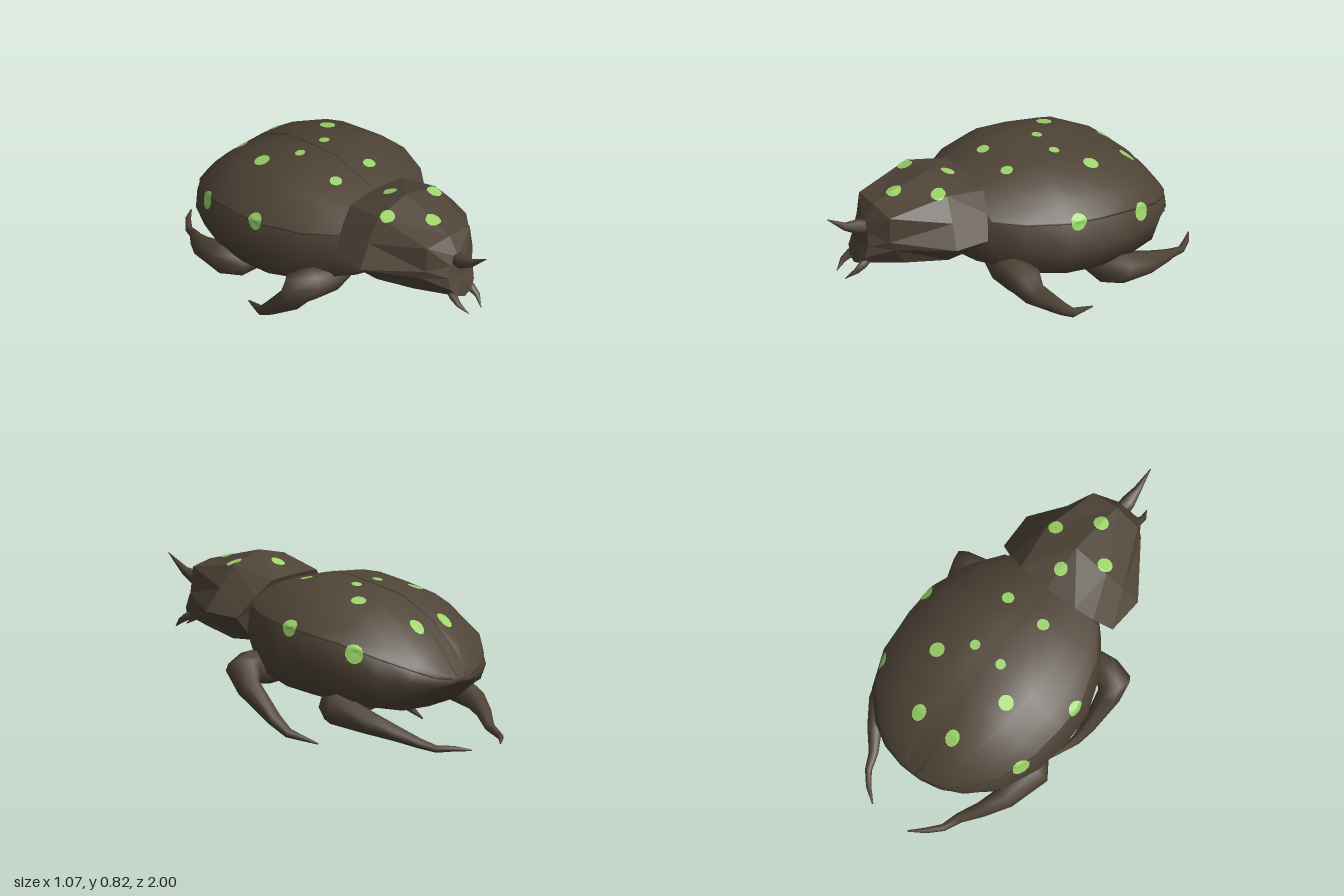
import * as THREE from 'three';

const brown = new THREE.MeshStandardMaterial({ color: 0x4f4437, side: THREE.DoubleSide });
brown.name = 'shellBrown';
const green = new THREE.MeshStandardMaterial({ color: 0x9cd56a });
green.name = 'spotGreen';

// Skin a list of rows of [x, y, z]; optional wrap around and end caps
function skin(rows, { wrap = false, caps = false, flat = false } = {}) {
  const n = rows[0].length;
  const centre = row => {
    const c = [0, 1, 2].map(k => row.reduce((s, p) => s + p[k], 0) / n);
    return row.map(() => c);
  };
  if (caps) rows = [centre(rows[0]), ...rows, centre(rows[rows.length - 1])];
  const index = [];
  for (let i = 0; i < rows.length - 1; i++) {
    for (let j = 0; j < (wrap ? n : n - 1); j++) {
      const k = (j + 1) % n;
      const a = i * n + j, b = i * n + k, c = a + n, d = b + n;
      // mirrored diagonals on the two halves
      if (j < n / 2) index.push(a, b, d, a, d, c);
      else index.push(a, b, c, b, d, c);
    }
  }
  let g = new THREE.BufferGeometry();
  g.setAttribute('position', new THREE.Float32BufferAttribute(rows.flat(2), 3));
  g.setIndex(index);
  if (flat) g = g.toNonIndexed();
  g.computeVertexNormals();
  return g;
}

// Complete a right-hand half outline (top to bottom) with its mirror image
const mirrorRing = half => [
  ...half,
  ...half.slice(1, -1).reverse().map(([x, y, z]) => [-x, y, z]),
];

// Tapered limb along points [x, y, z, radius]
function limb(points, side, sides = 8) {
  const p = points.map(a => new THREE.Vector3(a[0] * side, a[1], a[2]));
  const q = new THREE.Quaternion();
  let last = new THREE.Vector3(0, 0, 1);
  const rows = p.map((v, i) => {
    const t = p[Math.min(i + 1, p.length - 1)].clone().sub(p[Math.max(i - 1, 0)]).normalize();
    q.premultiply(new THREE.Quaternion().setFromUnitVectors(last, t));
    last = t;
    return Array.from({ length: sides }, (_, k) => {
      const a = (k / sides) * Math.PI * 2, r = points[i][3];
      return new THREE.Vector3(Math.cos(a) * r, Math.sin(a) * r, 0).applyQuaternion(q).add(v).toArray();
    });
  });
  return skin(rows, { wrap: true, caps: true });
}

// Body stations: z, half width, top, shell rim, widest height, belly
const stations = [
  [0.33, 0.22, 0.60, 0.55, 0.48, 0.37],
  [0.24, 0.31, 0.693, 0.613, 0.48, 0.305],
  [0.10, 0.42, 0.732, 0.602, 0.45, 0.245],
  [-0.10, 0.50, 0.768, 0.585, 0.42, 0.21],
  [-0.27, 0.508, 0.738, 0.565, 0.41, 0.188],
  [-0.45, 0.49, 0.703, 0.538, 0.40, 0.18],
  [-0.64, 0.41, 0.60, 0.473, 0.38, 0.18],
  [-0.76, 0.29, 0.482, 0.413, 0.36, 0.262],
  [-0.82, 0.18, 0.392, 0.368, 0.345, 0.31],
  [-0.843, 0.07, 0.355, 0.348, 0.335, 0.325],
];
const roof = [[0.3, 0.95], [0.56, 0.77], [0.78, 0.37], [0.93, 0]];

function bodyRing([z, w, top, rim, mid, belly]) {
  return mirrorRing([
    [0, top, z],
    ...roof.map(([u, v]) => [u * w, rim + v * (top - rim), z]),
    [w, mid, z],
    [w * 0.86, belly + 0.32 * (mid - belly), z],
    [w * 0.5, belly + 0.05 * (mid - belly), z],
    [0, belly, z],
  ]);
}

// Wing case: slightly raised half shell leaving a narrow wedge along the back
function wingCase(side) {
  const rows = stations.slice(1).map(([z, w, top, rim], i) => {
    const gap = Math.min(0.004 + i * 0.0055, 0.5 * w);
    const row = [
      [gap, top - 0.004, z],
      [gap, top + 0.007, z],
      ...roof.map(([u, v]) => [u * w + 0.005 * u, rim + v * (top - rim) + 0.007, z]),
      [0.94 * w, rim - 0.004, z],
      [0.91 * w, rim - 0.006, z],
    ].map(([x, y, zz]) => [x * side, y, zz]);
    return side > 0 ? row : row.reverse();
  });
  return skin(rows);
}

// Head shield cross-sections, front to back, each from top to bottom
const headRings = [
  [[0, 0.64, 0.80], [0.05, 0.61, 0.80], [0.075, 0.55, 0.81], [0.075, 0.49, 0.83], [0.045, 0.45, 0.845], [0, 0.43, 0.845]],
  [[0, 0.735, 0.74], [0.14, 0.718, 0.73], [0.155, 0.59, 0.735], [0.165, 0.545, 0.715], [0.15, 0.44, 0.64], [0, 0.405, 0.60]],
  [[0, 0.82, 0.43], [0.19, 0.775, 0.43], [0.275, 0.67, 0.452], [0.35, 0.56, 0.475], [0.2, 0.41, 0.43], [0, 0.37, 0.40]],
  [[0, 0.73, 0.20], [0.17, 0.722, 0.21], [0.26, 0.645, 0.243], [0.342, 0.55, 0.29], [0.2, 0.42, 0.31], [0, 0.375, 0.33]],
];

const frontLeg = [
  [0, 0.305, 0.13, 0.015], [0.10, 0.31, 0.14, 0.045], [0.25, 0.307, 0.15, 0.078],
  [0.41, 0.337, 0.16, 0.082], [0.465, 0.338, 0.15, 0.085], [0.473, 0.25, 0.105, 0.06],
  [0.465, 0.11, -0.05, 0.035], [0.45, 0.05, -0.125, 0.024], [0.40, 0.008, -0.27, 0.004],
];
const rearLeg = [
  [0, 0.223, -0.35, 0.067], [0.22, 0.203, -0.355, 0.08], [0.39, 0.203, -0.365, 0.084],
  [0.432, 0.203, -0.42, 0.079], [0.395, 0.15, -0.60, 0.056], [0.335, 0.105, -0.71, 0.038],
  [0.268, 0.058, -0.80, 0.025], [0.235, 0.035, -0.88, 0.018], [0.18, 0.037, -0.945, 0.014],
  [0.11, 0.025, -1.0, 0.004],
];
const mandible = [
  [0.04, 0.47, 0.78, 0.025], [0.06, 0.445, 0.83, 0.022], [0.062, 0.42, 0.87, 0.015], [0.04, 0.382, 0.92, 0.002],
];
const horn = [
  [0, 0.615, 0.77, 0.04], [0, 0.63, 0.83, 0.036], [0, 0.655, 0.90, 0.02], [0, 0.73, 1.0, 0.002],
];

// Spots: centre, outward direction, radius
const shellSpots = [
  [[0.105, 0.6, -0.65], [0, 1, 0], 0.036],
  [[0.217, 0.72, -0.375], [0, 1, 0], 0.038],
  [[0.08, 0.74, -0.25], [0, 1, 0], 0.026],
  [[0.11, 0.74, 0.04], [0, 1, 0], 0.031],
  [[0.425, 0.485, -0.525], [0.8, 0.58, -0.15], 0.046],
  [[0.46, 0.575, -0.15], [0.8, 0.6, 0], 0.043],
];
const headSpots = [
  [[0, 0.76, 0.31], [0, 1, 0], 0.034],
  [[0, 0.76, 0.62], [0, 1, 0], 0.038],
  [[0.155, 0.77, 0.46], [0, 1, 0], 0.037],
  [[-0.155, 0.77, 0.46], [0, 1, 0], 0.037],
];

// Thin disc laid onto the surface below it
function spot([c, dir, r], side, targets) {
  const n = new THREE.Vector3(dir[0] * side, dir[1], dir[2]).normalize();
  const g = new THREE.RingGeometry(0.0005, r, 12, 5);
  g.applyQuaternion(new THREE.Quaternion().setFromUnitVectors(new THREE.Vector3(0, 0, 1), n));
  g.translate(c[0] * side, c[1], c[2]);
  const pos = g.attributes.position, v = new THREE.Vector3(), ray = new THREE.Raycaster();
  for (let i = 0; i < pos.count; i++) {
    v.fromBufferAttribute(pos, i);
    ray.set(v.clone().addScaledVector(n, 0.3), n.clone().negate());
    const hit = ray.intersectObjects(targets, false)[0];
    if (hit) v.copy(hit.point);
    v.addScaledVector(n, 0.004);
    pos.setXYZ(i, v.x, v.y, v.z);
  }
  g.computeVertexNormals();
  return g;
}

export function createModel() {
  const model = new THREE.Group();
  model.name = 'beetle';
  const add = (name, geometry, material = brown) => {
    const mesh = new THREE.Mesh(geometry, material);
    mesh.name = name;
    model.add(mesh);
    return mesh;
  };

  const body = add('abdomen', skin(stations.map(bodyRing), { wrap: true, caps: true }));
  const head = add('headShield', skin(headRings.map(mirrorRing), { wrap: true, caps: true, flat: true }));
  add('horn', limb(horn, 1, 6));

  for (const [side, label] of [[1, 'left'], [-1, 'right']]) {
    const shell = add(label + 'WingCase', wingCase(side));
    add(label + 'FrontLeg', limb(frontLeg, side));
    add(label + 'RearLeg', limb(rearLeg, side));
    add(label + 'Mandible', limb(mandible, side, 6));
    shellSpots.forEach(s => add(label + 'ShellSpot', spot(s, side, [shell, body]), green));
  }
  headSpots.forEach(s => add('headSpot', spot(s, 1, [head]), green));
  return model;
}
